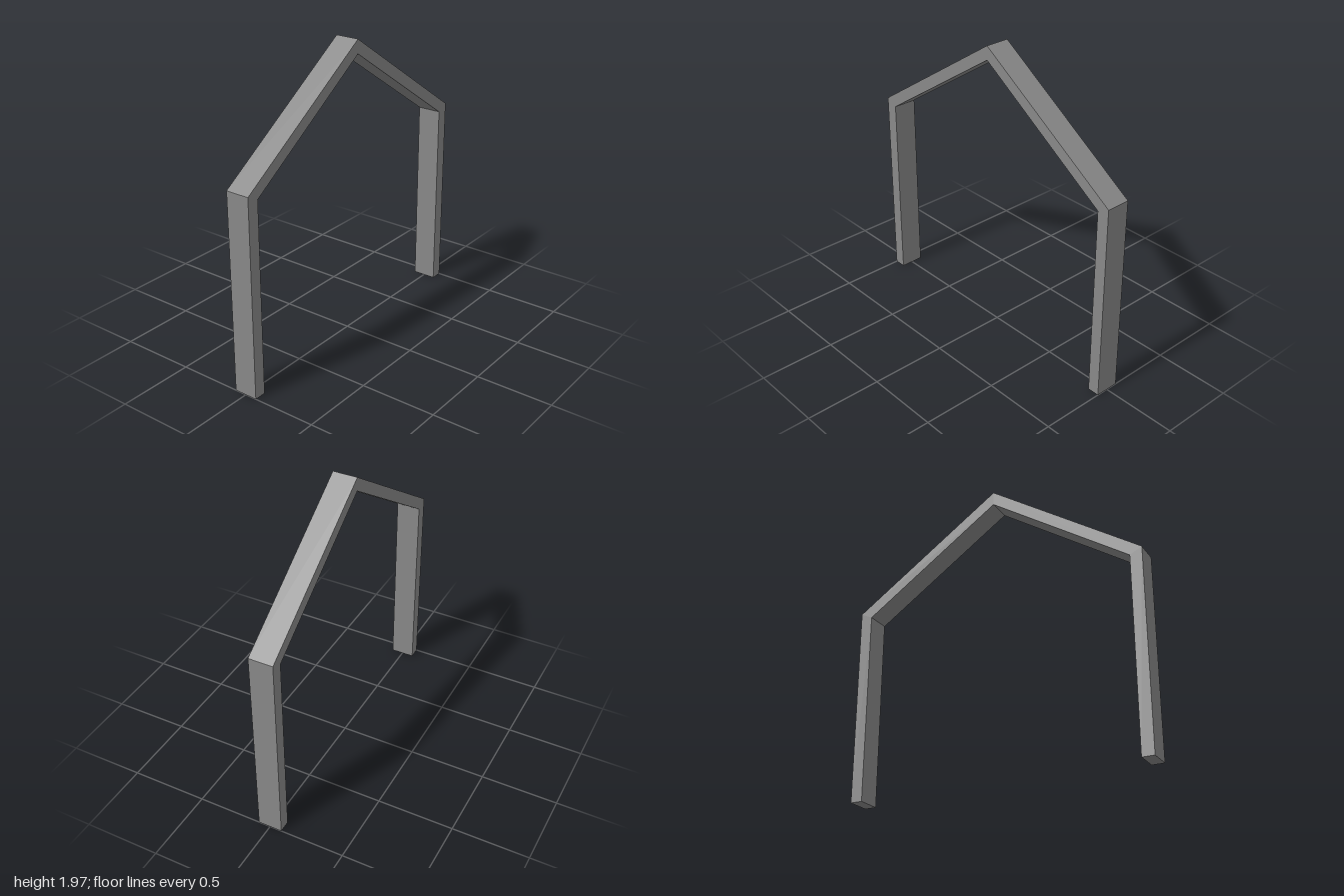
import * as THREE from 'three';

const DEPTH = 0.158;

// Half-frame outlines (x, y), with mitred ends at eave and ridge
const POST = [[1, 0], [1, 1.301], [0.921, 1.262], [0.921, 0]];
const RAFTER = [[1, 1.301], [0, 1.968], [0, 1.878], [0.921, 1.262]];

export function createModel() {
  const group = new THREE.Group();
  group.name = 'portalFrame';
  const material = new THREE.MeshStandardMaterial({ color: 0x888888, flatShading: true });

  // Extrudes an outline along z, centred on z = 0
  const addBeam = (name, outline, side) => {
    const shape = new THREE.Shape(outline.map(([x, y]) => new THREE.Vector2(x * side, y)));
    const geometry = new THREE.ExtrudeGeometry(shape, { depth: DEPTH, bevelEnabled: false });
    geometry.translate(0, 0, -DEPTH / 2);
    const mesh = new THREE.Mesh(geometry, material);
    mesh.name = name;
    group.add(mesh);
  };

  // Mirrored posts and sloping rafters
  for (const [label, side] of [['left', 1], ['right', -1]]) {
    addBeam(`${label}Post`, POST, side);
    addBeam(`${label}Rafter`, RAFTER, side);
  }
  return group;
}
